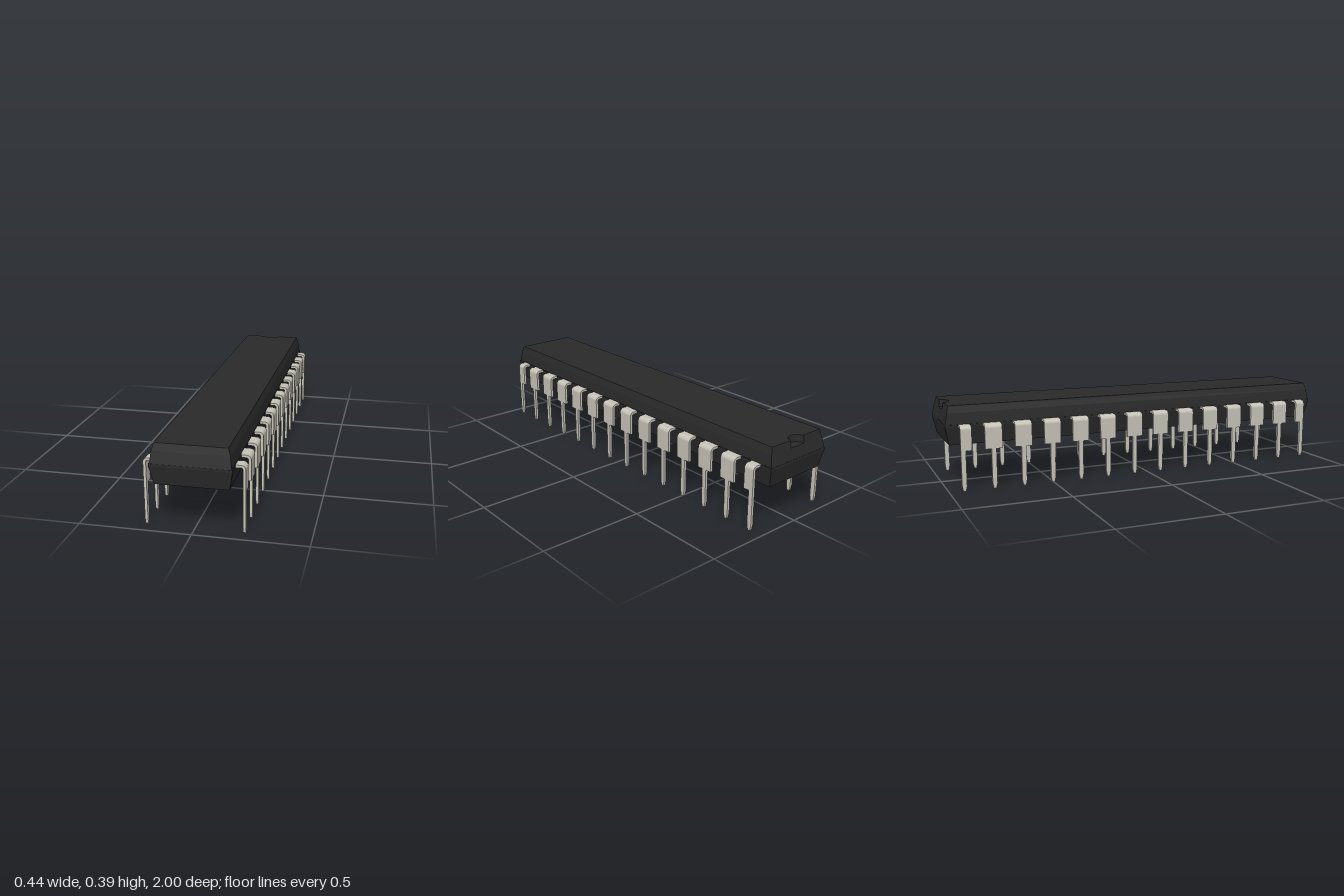
import * as THREE from 'three';

const bodyMat = new THREE.MeshStandardMaterial({ color: 0x2b2a2a });
bodyMat.name = 'black resin';
const pinMat = new THREE.MeshStandardMaterial({ color: 0xc6c4b8 });
pinMat.name = 'tinned metal';

function mesh(name, geometry, material) {
  const m = new THREE.Mesh(geometry, material);
  m.name = name;
  return m;
}

// Box whose bottom and top rectangles differ, given as [halfX, halfZ, y]
function frustum([x0, z0, y0], [x1, z1, y1]) {
  const g = new THREE.BoxGeometry(2, 2, 2);
  const p = g.attributes.position;
  for (let i = 0; i < p.count; i++) {
    const top = p.getY(i) > 0;
    p.setXYZ(i, p.getX(i) * (top ? x1 : x0), top ? y1 : y0, p.getZ(i) * (top ? z1 : z0));
  }
  g.computeVertexNormals();
  return g;
}

// Top layer of the body: tapered slab with a half-round notch in its back edge
function notchedSlab([x0, z0, y0], [x1, z1, y1], radius) {
  const s = new THREE.Shape();
  s.moveTo(-x0, -z0);
  s.lineTo(x0, -z0);
  s.lineTo(x0, z0);
  s.lineTo(radius, z0);
  s.absarc(0, z0, radius, 0, Math.PI, true);
  s.lineTo(-x0, z0);
  s.closePath();
  const g = new THREE.ExtrudeGeometry(s, { depth: y1 - y0, bevelEnabled: false, curveSegments: 16 });
  g.rotateX(-Math.PI / 2);
  g.translate(0, y0, 0);
  const p = g.attributes.position;
  for (let i = 0; i < p.count; i++) {
    if (p.getY(i) < (y0 + y1) / 2) continue;
    const x = p.getX(i), z = p.getZ(i);
    if (Math.abs(x) > x0 - 1e-4) p.setX(i, Math.sign(x) * x1);
    // shift the notch with the back edge
    if (Math.abs(z) > z0 - 1e-4) p.setZ(i, Math.sign(z) * z1);
  }
  g.computeVertexNormals();
  return g;
}

// Bent shoulder of a pin: side profile extruded along z
function shoulderGeometry(zMin, zMax) {
  const s = new THREE.Shape();
  s.moveTo(0.165, 0.295);
  s.lineTo(0.2, 0.295);
  s.absarc(0.2, 0.287, 0.008, Math.PI / 2, 0, true);
  s.lineTo(0.208, 0.19);
  s.lineTo(0.221, 0.19);
  s.lineTo(0.221, 0.287);
  s.absarc(0.201, 0.287, 0.02, 0, Math.PI / 2, false);
  s.lineTo(0.165, 0.307);
  s.closePath();
  const g = new THREE.ExtrudeGeometry(s, { depth: zMax - zMin, bevelEnabled: false, curveSegments: 6 });
  g.translate(0, 0, zMin);
  return g;
}

// Narrow leg with a tapered tip, extruded through the sheet thickness
function legGeometry() {
  const w = 0.0115, tip = 0.006;
  const s = new THREE.Shape();
  s.moveTo(-tip, 0);
  s.lineTo(tip, 0);
  s.lineTo(w, 0.025);
  s.lineTo(w, 0.19);
  s.lineTo(-w, 0.19);
  s.lineTo(-w, 0.025);
  s.closePath();
  const g = new THREE.ExtrudeGeometry(s, { depth: 0.013, bevelEnabled: false });
  g.rotateY(Math.PI / 2);
  g.translate(0.208, 0, 0);
  return g;
}

export function createModel() {
  const model = new THREE.Group();
  model.name = 'chipPackage';

  // Moulded body
  const body = new THREE.Group();
  body.name = 'body';
  const ledge = [0.174, 0.999, 0.307], cut = [0.167, 0.988, 0.36], top = [0.157, 0.98, 0.394];
  body.add(
    mesh('lowerBody', frustum([0.161, 0.982, 0.21], [0.178, 1, 0.295]), bodyMat),
    mesh('seamBand', frustum([0.178, 1, 0.295], [0.178, 1, 0.307]), bodyMat),
    mesh('upperBody', frustum(ledge, cut), bodyMat),
    mesh('notchedTop', notchedSlab(cut, top, 0.043), bodyMat)
  );
  model.add(body);

  // Two rows of pins; the end pins have shoulders cut short on the outside
  const count = 14, pitch = 0.143, half = 0.041, short = 0.0115;
  const leg = legGeometry();
  const wide = shoulderGeometry(-half, half);
  const first = shoulderGeometry(-short, half);
  const last = shoulderGeometry(-half, short);
  for (const side of ['left', 'right']) {
    const row = new THREE.Group();
    row.name = side + 'PinRow';
    for (let i = 0; i < count; i++) {
      const pin = new THREE.Group();
      pin.name = 'pin';
      const shoulder = i === 0 ? first : i === count - 1 ? last : wide;
      pin.add(mesh('pinShoulder', shoulder, pinMat), mesh('pinLeg', leg, pinMat));
      pin.position.z = (i - (count - 1) / 2) * pitch;
      row.add(pin);
    }
    if (side === 'right') row.rotation.y = Math.PI;
    model.add(row);
  }
  return model;
}
